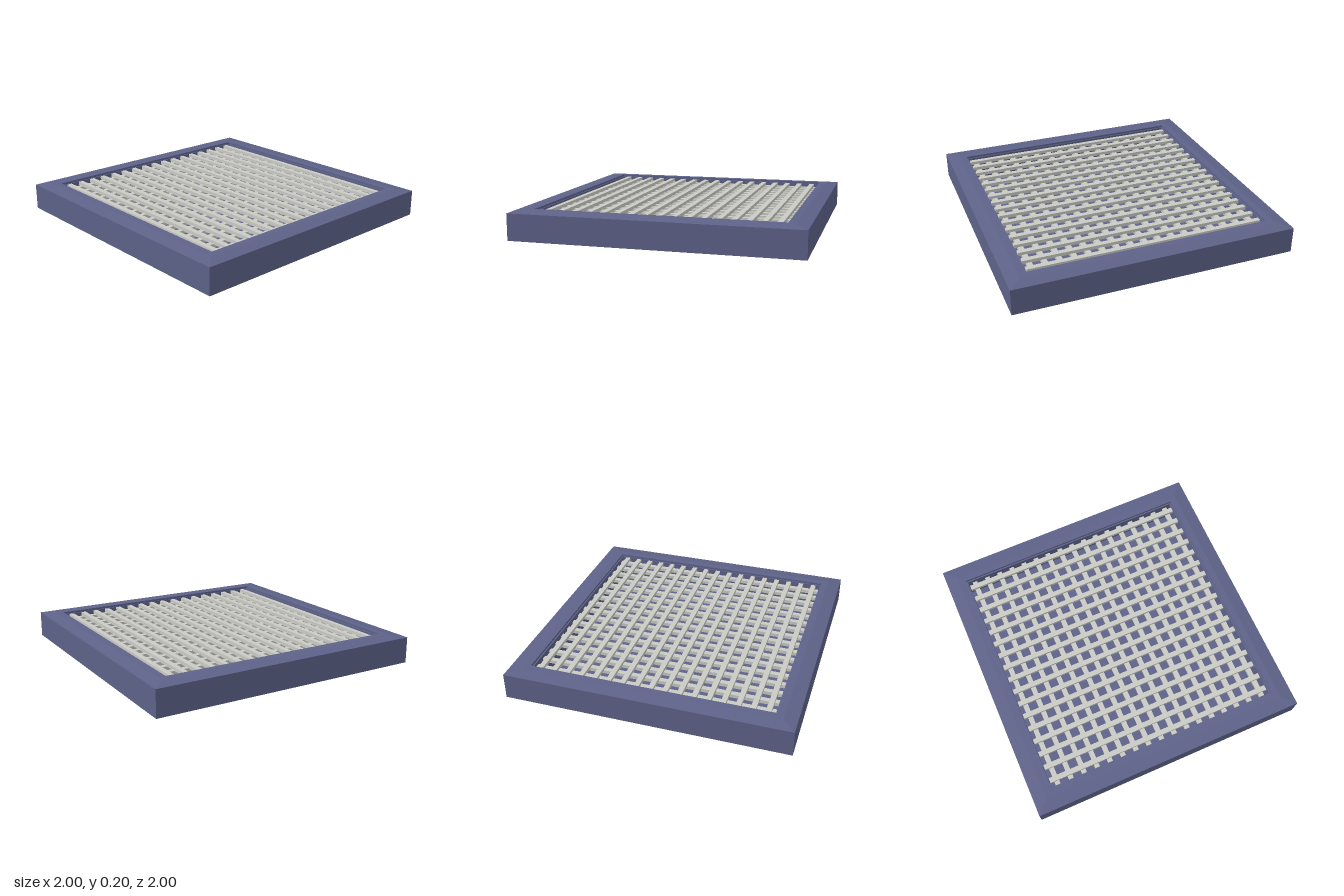
import * as THREE from 'three';

const blue = new THREE.MeshStandardMaterial({ color: 0x5d6288, side: THREE.DoubleSide });
blue.name = 'slate blue';
const grey = new THREE.MeshStandardMaterial({ color: 0xcacac5 });
grey.name = 'light grey';

// Square shell: sweeps a [half width, height] profile around four sides
function squareShell(name, profile) {
  const points = profile.map(([w, y]) => new THREE.Vector2(w * Math.SQRT2, y));
  const geometry = new THREE.LatheGeometry(points, 4, Math.PI / 4).toNonIndexed();
  geometry.computeVertexNormals();
  const mesh = new THREE.Mesh(geometry, blue);
  mesh.name = name;
  return mesh;
}

export function createModel() {
  const model = new THREE.Group();
  model.name = 'gratedTray';

  // Outer skirt and gently sloped top rim, open underneath
  model.add(squareShell('skirtAndRim', [[1, 0], [1, 0.187], [0.91, 0.2], [0.86, 0.2]]));

  // Basin with a small ledge at its lip and a flat floor
  model.add(squareShell('basin', [[0.86, 0.2], [0.86, 0.185], [0.85, 0.185], [0.85, 0], [0, 0]]));

  // Grate: long bars resting over cross bars
  const grate = new THREE.Group();
  grate.name = 'grate';
  const longBar = new THREE.BoxGeometry(0.036, 0.025, 1.69);
  const crossBar = new THREE.BoxGeometry(1.69, 0.025, 0.036);
  for (let i = -8; i <= 8; i++) {
    const long = new THREE.Mesh(longBar, grey);
    long.name = 'longBar';
    long.position.set(i * 0.1, 0.1725, 0);
    const cross = new THREE.Mesh(crossBar, grey);
    cross.name = 'crossBar';
    cross.position.set(0, 0.152, i * 0.1);
    grate.add(long, cross);
  }
  model.add(grate);
  return model;
}
